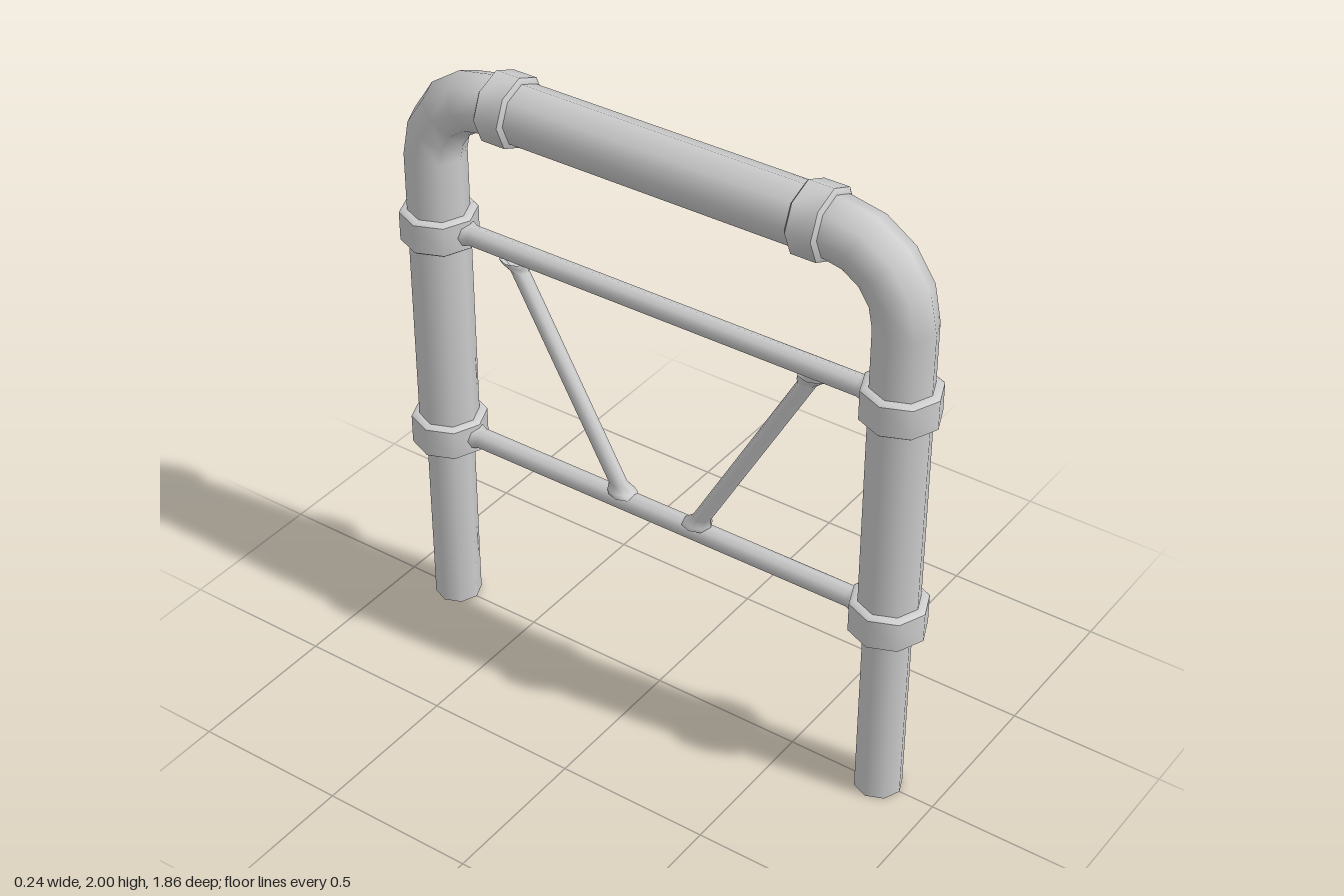
import * as THREE from 'three';
import { toCreasedNormals } from 'three/addons/utils/BufferGeometryUtils.js';

const SIDES = 8;
const PIPE = 0.095, LEG = 0.075, BAR = 0.033;
const LEG_Z = 0.81, TOP_Y = 1.888, BEND = 0.23;

export function createModel() {
  const model = new THREE.Group();
  model.name = 'pipeBarrier';
  const material = new THREE.MeshStandardMaterial({ color: 0xcccccc, side: THREE.DoubleSide });

  function add(parent, name, geometry, x = 0, y = 0, z = 0) {
    const mesh = new THREE.Mesh(geometry, material);
    mesh.name = name;
    mesh.position.set(x, y, z);
    parent.add(mesh);
    return mesh;
  }
  // Turned profile of [radius, height] pairs, listed from bottom to top
  const turned = (points) =>
    new THREE.LatheGeometry(points.map(([r, y]) => new THREE.Vector2(r, y)), SIDES);
  const tube = (r, length) => turned([[r, 0], [r, length]]);
  // Bevelled clamp ring, centred on its height
  const collar = (inner, outer, width) => {
    const h = width / 2;
    return toCreasedNormals(turned([
      [inner, -h], [outer - 0.011, -h], [outer, -h + 0.008],
      [outer, h - 0.008], [outer - 0.011, h], [PIPE - 0.005, h],
    ]), 0.84);
  };
  // Thin rod that flares out at both ends where it is welded on
  const weldedRod = (r, flare, length, run) => turned([
    [flare, 0], [flare * 0.93, run * 0.4], [r, run],
    [r, length - run], [flare * 0.93, length - run * 0.4], [flare, length],
  ]);

  // Each end: leg, upright, bend, clamps and one diagonal brace
  [0, Math.PI].forEach((turn, i) => {
    const half = new THREE.Group();
    half.name = i ? 'backHalf' : 'frontHalf';
    half.rotation.y = turn;
    model.add(half);

    add(half, 'lowerLeg', tube(LEG, 0.66), 0, 0, LEG_Z);
    add(half, 'upright', tube(PIPE, 1.03), 0, 0.63, LEG_Z);
    add(half, 'lowerCollar', collar(LEG - 0.005, 0.12, 0.113), 0, 0.662, LEG_Z);
    add(half, 'upperCollar', collar(PIPE - 0.005, 0.12, 0.111), 0, 1.41, LEG_Z);

    const bend = new THREE.TorusGeometry(BEND, PIPE, SIDES, 4, Math.PI / 2);
    bend.rotateY(-Math.PI / 2);
    add(half, 'cornerBend', bend, 0, TOP_Y - BEND, LEG_Z - BEND);

    const topCollar = collar(PIPE - 0.005, 0.113, 0.098);
    topCollar.rotateX(Math.PI / 2);
    add(half, 'topCollar', topCollar, 0, TOP_Y, 0.527);

    // Diagonal brace, sheared so that its ends lie flat on the bars
    const brace = weldedRod(0.026, 0.042, 0.7, 0.035);
    const p = brace.attributes.position;
    for (let k = 0; k < p.count; k++) p.setZ(k, p.getZ(k) * 1.16 + p.getY(k) * 0.56);
    brace.computeVertexNormals();
    add(half, 'diagonalBrace', brace, 0, 0.685, 0.135);
  });

  // Pipes running between the two ends
  const topPipe = tube(PIPE, 2 * (LEG_Z - BEND));
  topPipe.rotateX(Math.PI / 2);
  add(model, 'topPipe', topPipe, 0, TOP_Y, -(LEG_Z - BEND));

  [['lowerBar', 0.662], ['upperBar', 1.409]].forEach(([name, y]) => {
    const bar = weldedRod(BAR, BAR + 0.009, 1.42, 0.03);
    bar.rotateX(Math.PI / 2);
    add(model, name, bar, 0, y, -0.71);
  });

  return model;
}
